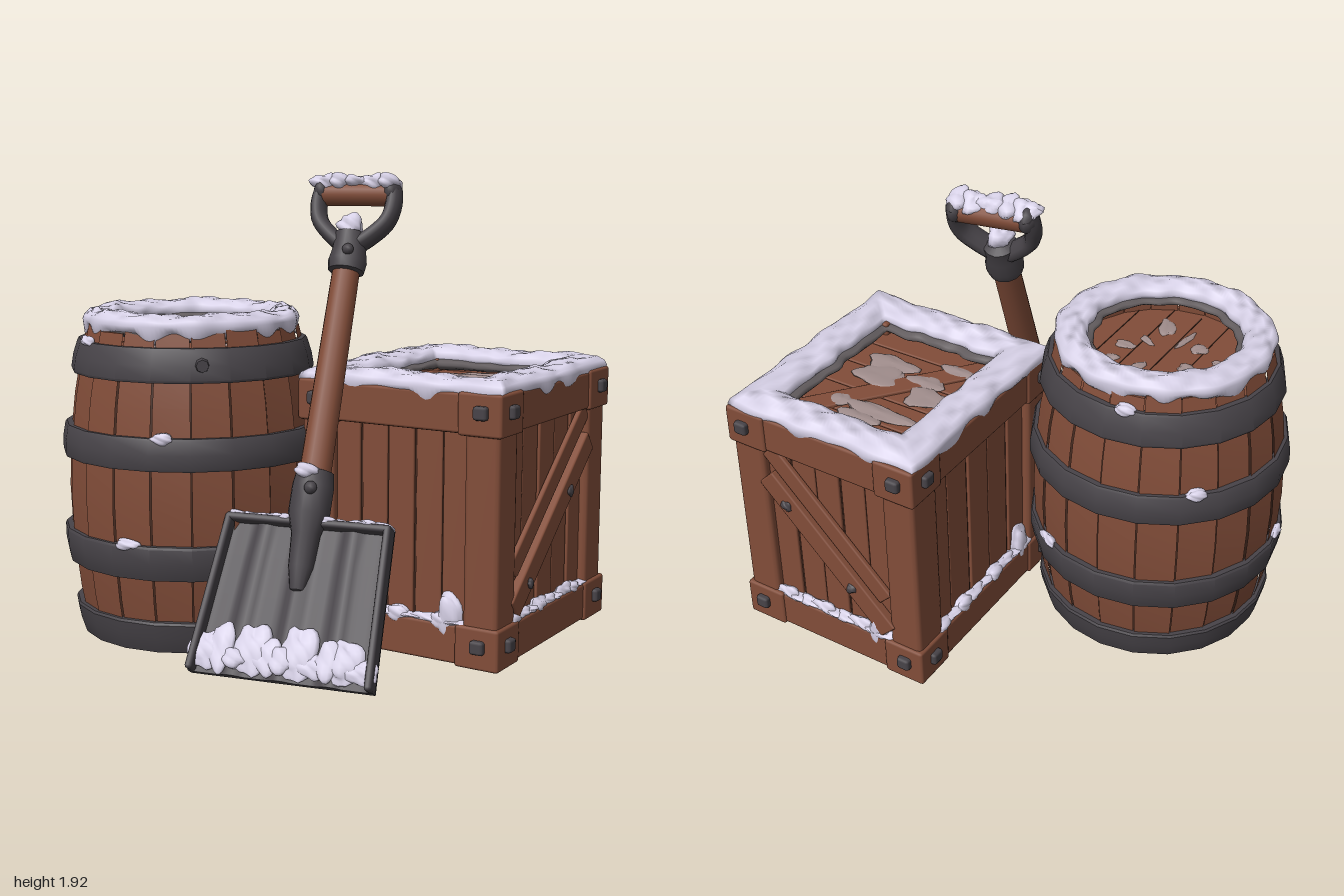
import * as THREE from 'three';
import { toCreasedNormals } from 'three/addons/utils/BufferGeometryUtils.js';
import { RoundedBoxGeometry } from 'three/addons/geometries/RoundedBoxGeometry.js';
import { ParametricGeometry } from 'three/addons/geometries/ParametricGeometry.js';

const mat = (name, color) => {
  const m = new THREE.MeshStandardMaterial({ color });
  m.name = name;
  return m;
};
const wood = mat('wood', 0x824d39);
const seam = mat('dark seam', 0x43291f);
const metal = mat('dark metal', 0x474348);
const snow = mat('snow', 0xd8d2e8);
const frost = mat('thin frost', 0xa08d8c);
const crust = mat('grey crust', 0x625c5e);
const TAU = Math.PI * 2;

function add(parent, name, geo, material, x = 0, y = 0, z = 0) {
  const m = new THREE.Mesh(geo, material);
  m.name = name;
  m.position.set(x, y, z);
  parent.add(m);
  return m;
}
function group(parent, name, x, y, z) {
  const g = new THREE.Group();
  g.name = name;
  g.position.set(x, y, z);
  parent.add(g);
  return g;
}
const box = (w, h, d, r = 0.012) => new RoundedBoxGeometry(w, h, d, 1, r);
const lathe = (pts, segs = 20, start = 0, len = TAU) => toCreasedNormals(
  new THREE.LatheGeometry(pts.map(p => new THREE.Vector2(p[0], p[1])), segs, start, len), 0.6);
const noise = (t, s) => (Math.sin(5 * t + s) + Math.sin(11 * t + 2.3 * s) + Math.sin(17 * t + s * s)) / 3;

// Lumpy ring of snow on a round or rectangular rim
function snowRing(hx, hz, a, b, drip, square) {
  const f = (u, v, out) => {
    const t = u * TAU, p = v * TAU, c = Math.cos(t), s = Math.sin(t);
    const k = square ? 1 / Math.max(Math.abs(c), Math.abs(s)) : 1;
    const cp = Math.cos(p), sp = Math.sin(p);
    const off = a * cp * (1 + 0.16 * noise(t, 1 + cp));
    let y = b * sp * (1 + 0.3 * noise(t, 4 + cp));
    if (sp < 0 && cp > 0) y -= drip * Math.max(0, 0.3 + noise(t, 7)) * cp * -sp * 2;
    out.set(c * k * (hx + off), y, -s * k * (hz + off));
  };
  return new ParametricGeometry(f, 160, 14);
}

// Lumpy snow blob
function blob(parent, name, x, y, z, sx, sy, sz, material = snow) {
  const g = new THREE.SphereGeometry(1, 18, 12), p = g.attributes.position;
  const seed = x * 31 + y * 17 + z * 23;
  for (let i = 0; i < p.count; i++) {
    const X = p.getX(i), Y = p.getY(i), Z = p.getZ(i);
    const k = 1 + 0.14 * Math.sin(4 * X + seed) + 0.14 * Math.sin(5 * Z - seed) + 0.08 * Math.sin(6 * Y + X * 5);
    p.setXYZ(i, X * k, Y * k, Z * k);
  }
  g.computeVertexNormals();
  const m = add(parent, name, g, material, x, y, z);
  m.scale.set(sx, sy, sz);
  return m;
}

function makeBarrel(root) {
  const g = group(root, 'barrel', -0.445, 0, 0.23);
  const R = y => 0.53 - 0.19 * (y - 0.62) ** 2;
  const ys = [0.01, 0.2, 0.4, 0.6, 0.8, 1.0, 1.17];
  add(g, 'barrelCore', lathe(ys.map(y => [R(y) - 0.012, y])), seam);
  const N = 20;
  for (let i = 0; i < N; i++) {
    const d = 0.005 * Math.sin(i * 4.7), top = 1.295 + 0.012 * Math.sin(i * 2.9);
    const outer = [...ys, top].map(y => [R(y) + d, y]);
    add(g, 'stave', lathe([...outer, [R(top) - 0.07, top], [R(1.17) - 0.09, 1.16]], 1,
      i * TAU / N + 0.005, TAU / N - 0.01), wood);
  }
  // Metal hoops
  for (const [a, b] of [[0, 0.13], [0.31, 0.45], [0.755, 0.885], [1.1, 1.235]]) {
    const o = 0.024, m = (a + b) / 2;
    add(g, 'hoop', lathe([[R(a) - 0.01, a], [R(a) + o - 0.004, a], [R(a) + o, a + 0.01], [R(m) + o + 0.004, m],
      [R(b) + o, b - 0.01], [R(b) + o - 0.006, b], [R(b) - 0.01, b]]), metal);
  }
  const bolt = add(g, 'hoopBolt', new THREE.CylinderGeometry(0.025, 0.03, 0.03, 8), metal, 0.33, 1.17, 0.375);
  bolt.rotation.set(Math.PI / 2, 0, -0.72, 'YXZ');
  bolt.rotation.y = 0.72;
  bolt.rotation.z = 0;
  // Lid and base
  add(g, 'barrelLid', new THREE.CylinderGeometry(0.42, 0.42, 0.03, 32), wood, 0, 1.19, 0);
  add(g, 'barrelBase', new THREE.CylinderGeometry(0.455, 0.455, 0.02, 20), wood, 0, 0.012, 0);
  for (let i = -2; i <= 2; i++) add(g, 'lidSeam', new THREE.BoxGeometry(0.004, 0.004, 0.7), seam, i * 0.13, 1.206, 0);
  for (let i = 0; i < 11; i++) {
    const t = i * TAU / 11, r = 0.18 + 0.05 * Math.sin(i * 2.3);
    blob(g, 'lidFrost', r * Math.cos(t), 1.205, -r * Math.sin(t),
      0.05 + 0.02 * Math.sin(i * 5), 0.008, 0.026 + 0.01 * Math.sin(i * 3), frost).rotation.y = t;
  }
  add(g, 'barrelCrust', snowRing(0.365, 0.365, 0.075, 0.02, 0.03, false), crust, 0, 1.285, 0);
  add(g, 'barrelSnow', snowRing(0.383, 0.383, 0.07, 0.045, 0.04, false), snow, 0, 1.315, 0);
  // Snow caught on the hoops
  for (const [t, y, w] of [[0.41, 0.885, 0.05], [0.12, 0.45, 0.055], [-0.5, 1.235, 0.05], [2.6, 0.45, 0.05],
    [3.9, 0.885, 0.05], [-1.4, 0.45, 0.04], [3.3, 1.235, 0.05]]) {
    const r = R(y) + 0.008;
    blob(g, 'hoopSnow', r * Math.sin(t), y, r * Math.cos(t), w, 0.022, 0.024).rotation.y = t;
  }
}

function makeCrate(root) {
  const g = group(root, 'crate', 0.52, 0, -0.33);
  const hx = 0.46, hz = 0.525, H = 1.09, rail = 0.17;
  add(g, 'crateCore', new THREE.BoxGeometry(0.8, 0.98, 0.93), seam, 0, 0.53, 0);
  add(g, 'crateBase', new THREE.BoxGeometry(0.84, 0.03, 0.97), wood, 0, 0.03, 0);
  // Corner posts, blocks and bolts
  for (const sx of [-1, 1]) for (const sz of [-1, 1]) {
    add(g, 'cornerPost', box(0.15, 0.8, 0.17, 0.02), wood, sx * (hx - 0.088), H / 2, sz * (hz - 0.098));
    for (const y of [rail / 2, H - rail / 2]) {
      add(g, 'cornerBlock', box(0.19, rail, 0.2), wood, sx * (hx - 0.095), y, sz * (hz - 0.1));
      add(g, 'cornerBolt', box(0.06, 0.055, 0.04, 0.012), metal, sx * (hx - 0.085), y + 0.01, sz * (hz + 0.005));
      add(g, 'cornerBolt', box(0.04, 0.055, 0.06, 0.012), metal, sx * (hx + 0.003), y + 0.01, sz * (hz - 0.095));
    }
  }
  // Four sides: rails, upright planks, ledge snow, braces on two of them
  const sides = [[0, hx, hz, false], [Math.PI / 2, hz, hx, true], [Math.PI, hx, hz, true], [-Math.PI / 2, hz, hx, false]];
  sides.forEach(([turn, half, depth, braced], k) => {
    const s = group(g, 'crateSide', 0, 0, 0);
    s.rotation.y = turn;
    for (const y of [rail / 2, H - rail / 2])
      add(s, 'rail', box(half * 2 - 0.3, rail - 0.012, 0.14), wood, 0, y, depth - 0.08);
    const n = 5, w = (half * 2 - 0.3) / n;
    for (let i = 0; i < n; i++)
      add(s, 'plank', box(w - 0.008, 0.8, 0.03, 0.006), wood, (i - 2) * w, H / 2, depth - 0.062 - 0.006 * (i % 2));
    if (braced) {
      const span = half * 2 - 0.34, rise = 0.58, tilt = Math.atan2(rise, span), len = Math.hypot(span, rise);
      const dir = k === 1 ? 1 : -1;
      [[0.5, 0.1, 0.04], [0.645, 0.085, 0.024]].forEach(([y, wd, th], i) => {
        const b = add(s, 'brace', box(len - i * 0.04, wd, th, 0.008), wood, 0, y, depth - 0.045 + th / 2);
        b.rotation.z = dir * tilt;
      });
      for (const q of [-0.33, 0.2])
        blob(s, 'braceNail', q * span, 0.49 + dir * q * rise, depth - 0.004, 0.022, 0.022, 0.014, metal);
    }
    // Snow on the lower rail
    for (let i = 0; i < 9; i++) {
      const x = (i / 8 - 0.5) * (half * 2 - 0.4);
      blob(s, 'ledgeSnow', x, rail, depth - 0.035, 0.06, 0.02 + 0.012 * Math.sin(i * 2.1 + k), 0.028);
    }
    if (k !== 1) blob(s, 'ledgeDrift', half - 0.23, rail + 0.02, depth - 0.04, 0.055, 0.09, 0.03);
  });
  // Lid boards with a diagonal brace
  for (let i = 0; i < 5; i++)
    add(g, 'lidBoard', box(0.74, 0.03, 0.158, 0.006), wood, 0, 1.02, (i - 2) * 0.164);
  const br = add(g, 'lidBrace', box(0.84, 0.024, 0.1, 0.006), wood, 0.0, 1.035, 0.0);
  br.rotation.y = 0.9;
  for (const [x, z, a, b] of [[-0.06, -0.19, 0.15, 0.05], [0.0, -0.26, 0.09, 0.05], [0.1, 0.03, 0.12, 0.075],
    [0.11, 0.14, 0.11, 0.06], [-0.16, 0.0, 0.09, 0.07], [-0.1, 0.09, 0.08, 0.05], [0.13, -0.19, 0.04, 0.05], [-0.17, 0.23, 0.08, 0.04]])
    blob(g, 'lidFrost', x, 1.044, z, a, 0.008, b, frost);
  add(g, 'crateCrust', snowRing(0.35, 0.405, 0.09, 0.025, 0.02, true), crust, 0, 1.065, 0);
  add(g, 'crateSnow', snowRing(0.372, 0.43, 0.085, 0.046, 0.04, true), snow, 0, 1.095, 0);
}

function makeShovel(root) {
  const g = group(root, 'shovel', 0.345, 0, 0.73);
  g.rotation.set(-0.43, 0.21, 0, 'YXZ');
  add(g, 'shaft', new THREE.CylinderGeometry(0.056, 0.064, 0.98, 14), wood, 0, 1.25, 0);
  add(g, 'bladeSocket', lathe([[0, 0.34], [0.03, 0.36], [0.05, 0.45], [0.058, 0.58], [0.083, 0.66],
    [0.083, 0.77], [0.074, 0.83], [0.055, 0.835]], 14), metal);
  add(g, 'socketBolt', new THREE.SphereGeometry(0.026, 10, 8), metal, 0.02, 0.75, 0.08);
  // D-shaped handle
  add(g, 'handleSocket', lathe([[0.05, 1.66], [0.074, 1.67], [0.08, 1.71], [0.07, 1.76], [0.068, 1.83], [0, 1.86]], 14), metal);
  add(g, 'handleBolt', new THREE.SphereGeometry(0.024, 10, 8), metal, 0.02, 1.74, 0.07);
  for (const s of [-1, 1]) {
    const path = new THREE.CatmullRomCurve3([[0.01, 1.77], [0.08, 1.82], [0.145, 1.89], [0.162, 1.97], [0.15, 2.05]]
      .map(p => new THREE.Vector3(s * p[0], p[1], 0)));
    const arm = add(g, 'handleArm', new THREE.TubeGeometry(path, 16, 0.034, 10), metal);
    arm.scale.z = 1.5;
    const cap = add(g, 'handleEnd', new THREE.SphereGeometry(0.055, 12, 8), metal, s * 0.15, 2.02, 0);
    cap.scale.set(0.7, 1, 1.1);
  }
  add(g, 'grip', new THREE.CylinderGeometry(0.05, 0.05, 0.28, 14), wood, 0, 2.01, 0).rotation.z = Math.PI / 2;
  for (let i = 0; i < 5; i++) blob(g, 'gripSnow', (i - 2) * 0.07, 2.05, 0.02, 0.055, 0.032, 0.055);
  blob(g, 'crookSnow', 0, 1.86, 0.02, 0.055, 0.045, 0.05);
  blob(g, 'socketSnow', -0.01, 0.82, 0.05, 0.06, 0.03, 0.045);

  // Blade: ribbed, tapering plate with raised rims
  const b = group(g, 'blade', 0, 0, 0.03);
  b.rotation.x = -0.12;
  const L = 0.64, w0 = 0.375, w1 = 0.34;
  const plate = new THREE.BoxGeometry(w0 * 2, L, 0.03, 36, 4, 1).translate(0, L / 2, 0), p = plate.attributes.position;
  for (let i = 0; i < p.count; i++) {
    const x = p.getX(i), y = p.getY(i);
    if (p.getZ(i) > 0) p.setZ(i, 0.015 + 0.018 * Math.max(0, Math.cos(x * TAU / 0.2)));
    p.setX(i, x * (1 + (w1 / w0 - 1) * y / L));
  }
  add(b, 'bladePlate', toCreasedNormals(plate, 0.7), metal);
  for (const s of [-1, 1])
    add(b, 'sideRim', box(0.03, L, 0.08), metal, s * (w0 + w1 - 0.024) / 2, L / 2, 0.03).rotation.z = s * Math.atan((w0 - w1) / L);
  add(b, 'topRim', box(w1 * 2, 0.03, 0.08), metal, 0, L - 0.015, 0.03);
  // Snow on the blade
  for (let i = 0; i < 11; i++) {
    const h = 0.07 + 0.03 * Math.sin(i * 2.4);
    blob(b, 'bladeSnow', (i - 5) * 0.063, 0.035 + h * 0.75, 0.03, 0.062, h, 0.03);
  }
  for (let i = 0; i < 9; i++)
    blob(b, 'rimSnow', (i - 4) * 0.075, L - 0.002, 0.03 + 0.012 * Math.sin(i * 3), 0.055, 0.016, 0.034);
}

export function createModel() {
  const root = new THREE.Group();
  root.name = 'snowyBarrelCrateAndShovel';
  makeBarrel(root);
  makeCrate(root);
  makeShovel(root);
  return root;
}
